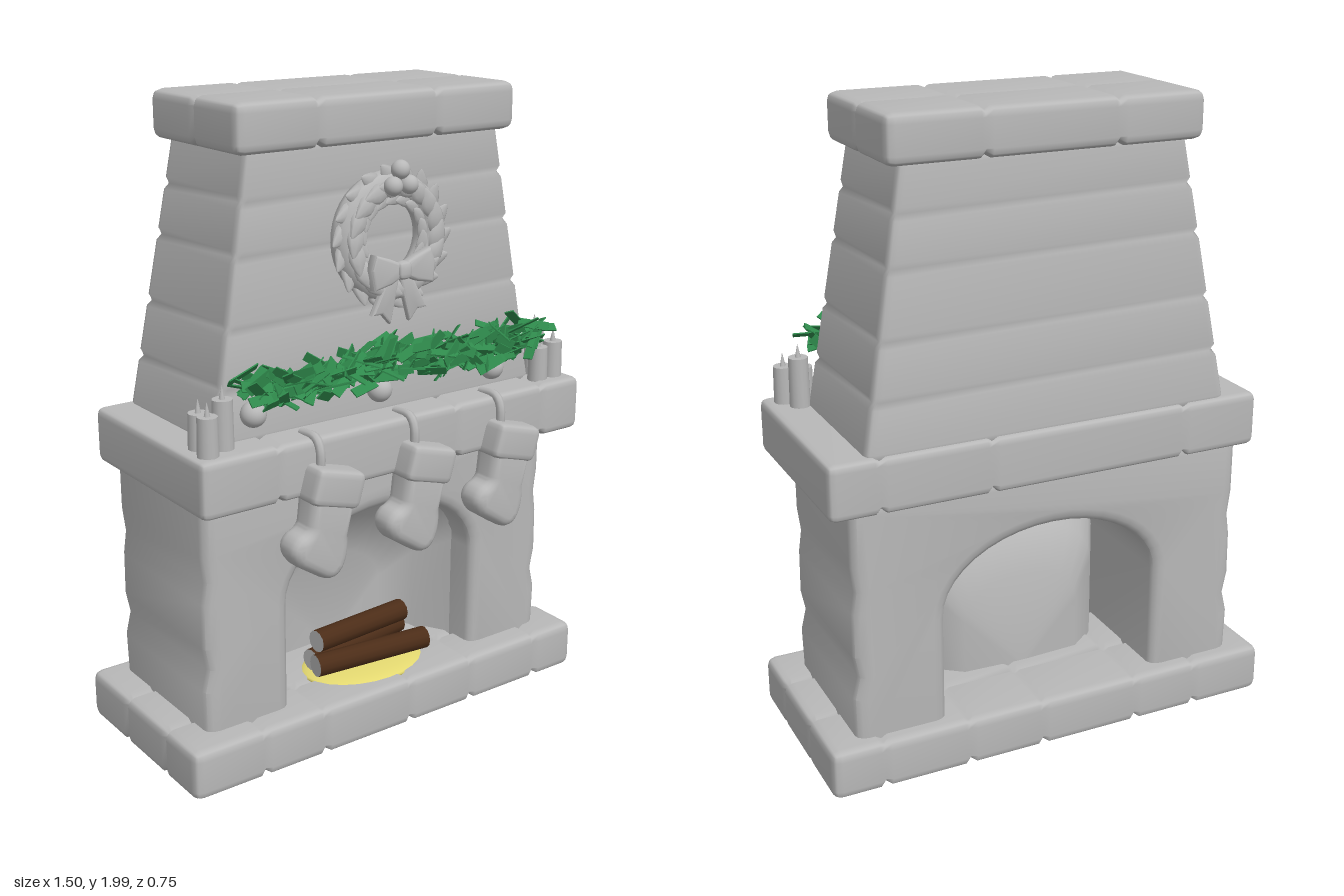
import * as THREE from 'three';
import { mergeVertices, mergeGeometries, toCreasedNormals } from 'three/addons/utils/BufferGeometryUtils.js';

const mat = (name, color, side = THREE.FrontSide) => {
  const m = new THREE.MeshStandardMaterial({ color, side });
  m.name = name;
  return m;
};

// Seeded random numbers in 0..1
let seed = 7;
const rnd = () => (seed = (seed * 16807) % 2147483647) / 2147483647;
const spread = (a) => (rnd() * 2 - 1) * a;

// Rounded stone block with shallow grooves across x, y or z, optionally open underneath
function block(size, r, grooves = {}, open = false) {
  const axes = ['x', 'y', 'z'];
  const lines = size.map((s, a) => {
    const h = s / 2;
    const mid = (grooves[axes[a]] || []).flatMap((g) => [g - 0.018, g, g + 0.018]);
    return [-h, -h + r * 0.3, -h + r, ...mid, h - r, h - r * 0.3, h];
  });
  let geo = new THREE.BoxGeometry(...size, ...lines.map((l) => l.length - 1));
  if (open) {
    const { start, count } = geo.groups[3];
    geo.setIndex(Array.from(geo.index.array).filter((_, i) => i < start || i >= start + count));
  }
  geo.clearGroups();
  const pos = geo.attributes.position, v = new THREE.Vector3(), core = new THREE.Vector3();
  for (let i = 0; i < pos.count; i++) {
    v.fromBufferAttribute(pos, i);
    const p = v.toArray().map((c, a) => lines[a][Math.round((c / size[a] + 0.5) * (lines[a].length - 1))]);
    core.fromArray(p.map((c, a) => THREE.MathUtils.clamp(c, -size[a] / 2 + r, size[a] / 2 - r)));
    v.fromArray(p).sub(core).setLength(r).add(core);
    const q = v.toArray();
    axes.forEach((n, a) => {
      if (!(grooves[n] || []).includes(p[a])) return;
      for (let b = 0; b < 3; b++) {
        if (b !== a && Math.abs(q[b]) > size[b] / 2 - r * 0.9) q[b] -= Math.sign(q[b]) * 0.011;
      }
    });
    pos.setXYZ(i, ...q);
  }
  geo.deleteAttribute('normal');
  geo.deleteAttribute('uv');
  geo = mergeVertices(geo);
  geo.computeVertexNormals();
  return geo;
}

export function createModel() {
  const root = new THREE.Group();
  root.name = 'fireplace';
  const stone = mat('stone grey', 0xb8b8b8, THREE.DoubleSide);
  const green = mat('garland green', 0x2f8a4c);
  const bark = mat('bark brown', 0x4c2d18);
  const ember = mat('ember yellow', 0xe3d870);
  const add = (name, geo, m, x = 0, y = 0, z = 0, parent = root) => {
    const mesh = new THREE.Mesh(geo, m);
    mesh.name = name;
    mesh.position.set(x, y, z);
    parent.add(mesh);
    return mesh;
  };

  // Slabs: hearth, mantel and chimney cap
  add('hearthBase', block([1.5, 0.16, 0.66], 0.03, { x: [-0.5, -0.28, 0.05, 0.3, 0.58], z: [-0.1, 0.14] }, true), stone, 0, 0.08, -0.045);
  add('mantel', block([1.42, 0.175, 0.64], 0.025, { x: [-0.45, 0.2, 0.55] }), stone, 0.005, 0.967, -0.02);
  add('chimneyCap', block([1, 0.145, 0.48], 0.03, { x: [-0.22, 0.2], z: [0] }), stone, 0, 1.9275, -0.055);

  // Tapered chimney breast
  const breast = block([1.2, 0.85, 0.515], 0.03, { y: [-0.25, -0.08, 0.12, 0.27] });
  const bp = breast.attributes.position;
  for (let i = 0; i < bp.count; i++) {
    const t = bp.getY(i) / 0.85 + 0.5;
    bp.setX(i, bp.getX(i) * (1 - 0.25 * t));
    bp.setZ(i, bp.getZ(i) * (1 - 0.18 * t) + 0.012 * t);
  }
  breast.computeVertexNormals();
  add('chimneyBreast', breast, stone, 0, 1.455, -0.067);

  // Piers and arch cut as one outline
  const outline = new THREE.Shape();
  const side = [[0.65, 0.1], [0.655, 0.29], [0.638, 0.36], [0.652, 0.43], [0.65, 0.57], [0.64, 0.64], [0.65, 0.72], [0.65, 0.92]];
  outline.moveTo(0.36, 0.1);
  side.forEach(([x, y]) => outline.lineTo(x, y));
  side.slice().reverse().forEach(([x, y]) => outline.lineTo(-x, y));
  outline.lineTo(-0.36, 0.1);
  for (let i = 0; i <= 20; i++) {
    const a = Math.PI * (1 - i / 20);
    outline.lineTo(0.36 * Math.cos(a), 0.5 + 0.235 * Math.sin(a));
  }
  const surround = new THREE.ExtrudeGeometry(outline, {
    depth: 0.465, bevelEnabled: true, bevelThickness: 0.03, bevelSize: 0.04, bevelOffset: -0.04, bevelSegments: 3,
  });
  add('firebox surround', toCreasedNormals(surround, 0.6), stone, 0, 0, -0.295);

  // Hollow fireback: arched rings stepping backwards and closing in
  const ring = (s, z) => {
    const pts = [[0.365 * s, 0.14]];
    for (let i = 0; i <= 12; i++) {
      const a = (Math.PI * i) / 12;
      pts.push([0.365 * s * Math.cos(a), 0.14 + (0.36 + 0.24 * Math.sin(a)) * s]);
    }
    pts.push([-0.365 * s, 0.14]);
    return pts.flatMap(([x, y]) => [x, y, z]);
  };
  const n = 15, verts = [ring(1, 0.1), ring(0.8, -0.03), ring(0.55, -0.1), ring(0.001, -0.11)].flat(), faces = [];
  for (let k = 0; k < 3; k++) {
    for (let i = 0; i < n - 1; i++) {
      const a = k * n + i, b = a + n;
      faces.push(a, a + 1, b, a + 1, b + 1, b);
    }
  }
  const back = new THREE.BufferGeometry();
  back.setAttribute('position', new THREE.Float32BufferAttribute(verts, 3));
  back.setIndex(faces);
  back.computeVertexNormals();
  add('fireback', back, stone);

  // Embers and logs
  const ball = new THREE.SphereGeometry(1, 24, 14);
  add('embers', ball, ember, 0, 0.155, 0.08).scale.set(0.22, 0.025, 0.155);
  const log = (x, y, z, len, turn) => {
    const g = new THREE.CylinderGeometry(0.036, 0.036, len, 12).rotateZ(Math.PI / 2);
    add('log', g, [bark, stone, stone], x, y, z).rotation.y = turn;
  };
  log(0, 0.21, 0.13, 0.41, -0.1);
  log(0.01, 0.205, 0.03, 0.4, 0.15);
  log(-0.01, 0.286, 0.08, 0.36, 0.08);

  // Stockings hung from hooks over the mantel edge
  const sock = new THREE.Shape();
  sock.moveTo(-0.075, -0.01);
  sock.lineTo(0.055, -0.05);
  sock.lineTo(0.03, -0.15);
  sock.quadraticCurveTo(0.035, -0.21, 0.015, -0.245);
  sock.quadraticCurveTo(-0.01, -0.285, -0.05, -0.26);
  sock.lineTo(-0.125, -0.21);
  sock.quadraticCurveTo(-0.165, -0.165, -0.125, -0.135);
  sock.quadraticCurveTo(-0.09, -0.125, -0.085, -0.1);
  const sockGeo = toCreasedNormals(new THREE.ExtrudeGeometry(sock, {
    depth: 0.04, bevelEnabled: true, bevelThickness: 0.033, bevelSize: 0.03, bevelOffset: -0.02, bevelSegments: 4, curveSegments: 6,
  }), 0.9);
  const cuffGeo = block([0.175, 0.115, 0.125], 0.025);
  const hookGeo = new THREE.TubeGeometry(new THREE.CatmullRomCurve3([
    [-0.035, 0, 0], [-0.035, 0.11, 0.005], [-0.035, 0.143, -0.015], [-0.035, 0.143, -0.09],
  ].map((p) => new THREE.Vector3(...p))), 16, 0.014, 8);
  for (const x of [-0.29, 0.052, 0.392]) {
    const g = new THREE.Group();
    g.name = 'stocking';
    g.position.set(x, 0.91, 0.313);
    add('sock', sockGeo, stone, 0, 0, -0.02, g);
    add('cuff', cuffGeo, stone, 0, 0, 0, g).rotation.z = -0.28;
    add('hook', hookGeo, stone, 0, 0, 0, g);
    root.add(g);
  }

  // Candles in threes at both ends of the mantel
  for (const [x, z, top] of [[-0.64, 0.175, 1.16], [-0.652, 0.245, 1.17], [-0.585, 0.215, 1.2],
    [0.62, 0.175, 1.21], [0.59, 0.23, 1.16], [0.652, 0.23, 1.17]]) {
    add('candle', new THREE.CylinderGeometry(0.03, 0.032, top - 1.05, 14), stone, x, (top + 1.05) / 2, z);
    add('wick', new THREE.ConeGeometry(0.01, 0.045, 8), stone, x, top + 0.02, z);
  }

  // Garland of flat clippings draped in two swags
  const clippings = [];
  for (let i = 0; i < 230; i++) {
    const x = -0.53 + (1.06 * i) / 229;
    const dip = Math.abs(Math.sin((Math.PI * x) / 0.55));
    const g = new THREE.BoxGeometry(0.075 + rnd() * 0.04, 0.03, 0.004);
    g.rotateX(spread(1.5)).rotateY(spread(0.9)).rotateZ(spread(0.85));
    g.translate(x + spread(0.02), 1.235 - 0.025 * dip + spread(0.045), 0.245 + 0.02 * dip + spread(0.05));
    clippings.push(g);
  }
  add('garland', mergeGeometries(clippings), green);
  for (const [x, y] of [[-0.515, 1.155], [-0.075, 1.147], [0.36, 1.14]]) {
    add('bauble', ball, stone, x, y, 0.265).scale.setScalar(0.038);
  }

  // Wreath: padded ring with three rows of overlapping leaves
  const wreath = new THREE.Group();
  wreath.name = 'wreath';
  wreath.position.set(0, 1.585, 0.2);
  wreath.rotation.x = -0.04;
  root.add(wreath);
  add('wreathRing', new THREE.TorusGeometry(0.15, 0.045, 10, 40), stone, 0, 0, 0, wreath);
  const leafGeo = new THREE.SphereGeometry(1, 8, 8);
  const lp = leafGeo.attributes.position;
  for (let i = 0; i < lp.count; i++) {
    const y = lp.getY(i), w = y > 0 ? 1 - y * 0.5 : 1;
    lp.setXYZ(i, lp.getX(i) * 0.03 * w, y * 0.05, lp.getZ(i) * 0.013 * w);
  }
  leafGeo.computeVertexNormals();
  for (const [radius, z, lean, tilt] of [[0.178, 0.015, -0.75, 0.25], [0.15, 0.045, -1.35, 0.15], [0.122, 0.02, -2.1, 0.25]]) {
    for (let i = 0; i < 18; i++) {
      const a = (i / 18) * Math.PI * 2 + radius * 9;
      const leaf = add('leaf', leafGeo, stone, radius * Math.cos(a), radius * Math.sin(a), z, wreath);
      leaf.rotation.set(0, 0, a - Math.PI / 2 - lean);
      leaf.rotateX(tilt);
    }
  }
  for (const [x, y] of [[-0.027, 0.155], [0.03, 0.155], [0, 0.2]]) {
    add('berry', ball, stone, x, y, 0.066, wreath).scale.setScalar(0.028);
  }

  // Bow with flared loops and notched tails
  const ribbon = (pts, depth) => toCreasedNormals(new THREE.ExtrudeGeometry(
    new THREE.Shape(pts.map((p) => new THREE.Vector2(...p))),
    { depth, bevelEnabled: true, bevelThickness: 0.008, bevelSize: 0.008, bevelSegments: 2 }), 0.8);
  for (const s of [-1, 1]) {
    const flip = (pts) => pts.map(([x, y]) => [x * s, y]);
    add('bowLoop', ribbon(flip([[0.01, 0.012], [0.05, 0.03], [0.095, 0.045], [0.108, 0.01], [0.1, -0.04], [0.05, -0.03], [0.01, -0.012]]), 0.022),
      stone, 0, -0.09, 0.052, wreath);
    add('bowTail', ribbon(flip([[0, 0], [0.03, -0.01], [0.092, -0.12], [0.062, -0.118], [0.038, -0.148], [0.02, -0.07]]), 0.008),
      stone, 0, -0.09, 0.042, wreath);
  }
  add('bowKnot', block([0.05, 0.055, 0.045], 0.018), stone, 0, -0.09, 0.07, wreath);
  return root;
}
